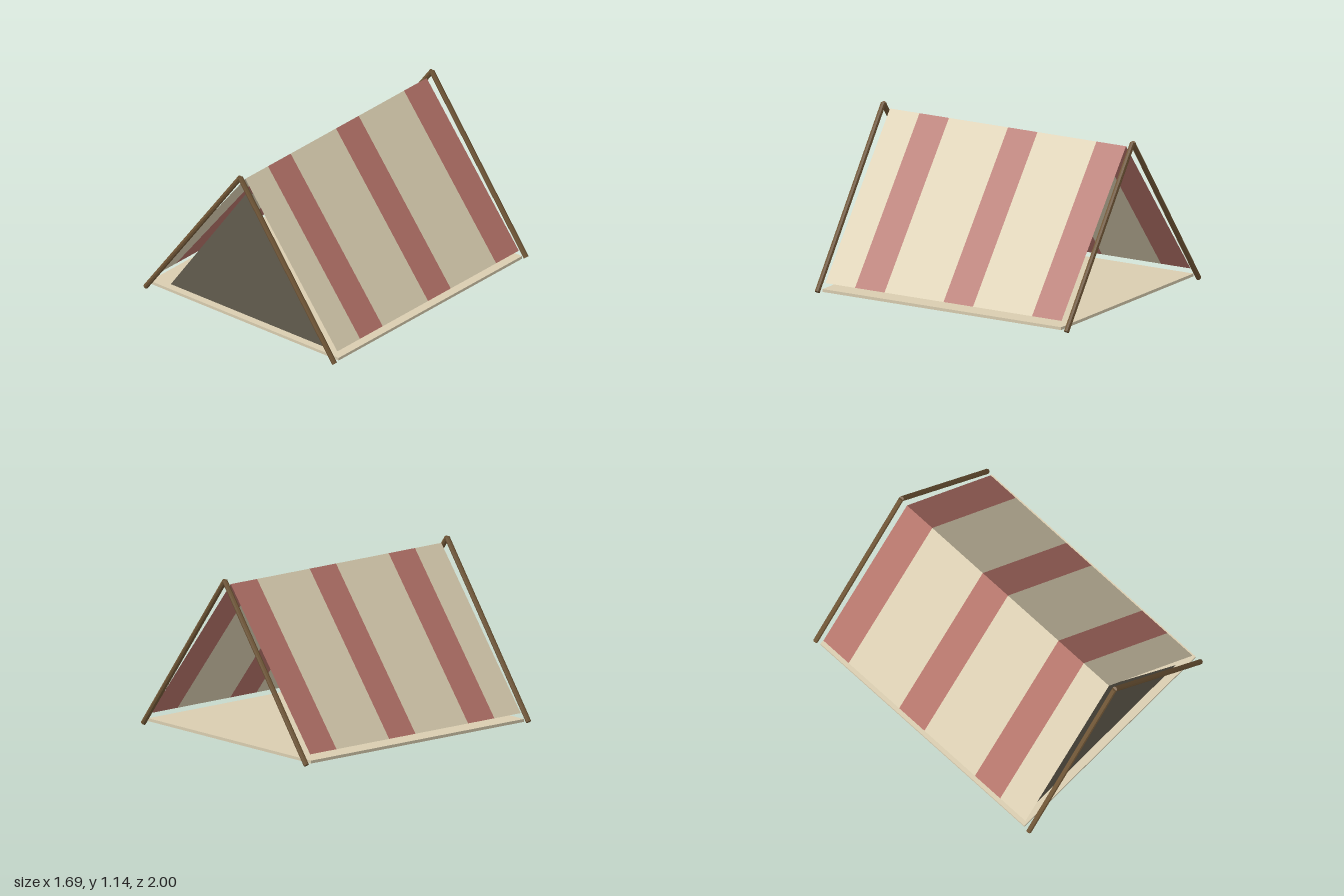
import * as THREE from 'three';

const material = (color, extra = {}) => new THREE.MeshStandardMaterial({ color, ...extra });

export function createModel() {
  const tent = new THREE.Group();
  tent.name = 'tent';

  const thin = { side: THREE.DoubleSide };
  const cream = material(0xd9cdb0, thin);
  const red = material(0xb37268, thin);
  const dark = material(0x625c4e, thin);
  const wood = material(0x705636, { flatShading: true });

  const add = (parent, name, geometry, mat) => {
    const mesh = new THREE.Mesh(geometry, mat);
    mesh.name = name;
    parent.add(mesh);
    return mesh;
  };

  // Ground sheet
  add(tent, 'groundSheet', new THREE.BoxGeometry(1.66, 0.02, 1.88), cream).position.y = 0.027;

  // Two sloping canvas sides, each sewn from eight strips
  const ridgeY = 1.1, hemX = 0.81, hemY = 0.075, halfLength = 0.93, strips = 8;
  const stripWidth = 2 * halfLength / strips;
  const slope = Math.hypot(hemX, ridgeY - hemY);
  const tilt = Math.atan2(hemX, ridgeY - hemY);
  for (const s of [1, -1]) {
    const side = new THREE.Group();
    side.name = s > 0 ? 'canvasLeft' : 'canvasRight';
    for (let i = 0; i < strips; i++) {
      const isRed = i % 3 === 1;
      const strip = new THREE.PlaneGeometry(stripWidth, slope)
        .rotateY(s * Math.PI / 2)
        .rotateZ(s * tilt)
        .translate(s * hemX / 2, (ridgeY + hemY) / 2, halfLength - (i + 0.5) * stripWidth);
      add(side, isRed ? 'redStrip' : 'creamStrip', strip, isRed ? red : cream);
    }
    tent.add(side);
  }

  // Triangular door panel, front end only
  const door = new THREE.Shape([
    new THREE.Vector2(-0.695, 0.035),
    new THREE.Vector2(0.695, 0.035),
    new THREE.Vector2(0, 1.0),
  ]);
  add(tent, 'doorPanel', new THREE.ShapeGeometry(door), dark).position.z = 0.885;

  // A pair of crossed poles at each end
  const up = new THREE.Vector3(0, 1, 0);
  for (const z of [0.982, -0.982]) {
    const frame = new THREE.Group();
    frame.name = z > 0 ? 'frontFrame' : 'backFrame';
    for (const s of [1, -1]) {
      const foot = new THREE.Vector3(s * 0.831, 0.011, z);
      const top = new THREE.Vector3(0, 1.13, z);
      const along = top.clone().sub(foot);
      const geometry = new THREE.CylinderGeometry(0.018, 0.018, along.length(), 8);
      const pole = add(frame, s > 0 ? 'leftPole' : 'rightPole', geometry, wood);
      pole.position.copy(foot).add(top).multiplyScalar(0.5);
      pole.quaternion.setFromUnitVectors(up, along.normalize());
    }
    tent.add(frame);
  }

  return tent;
}
